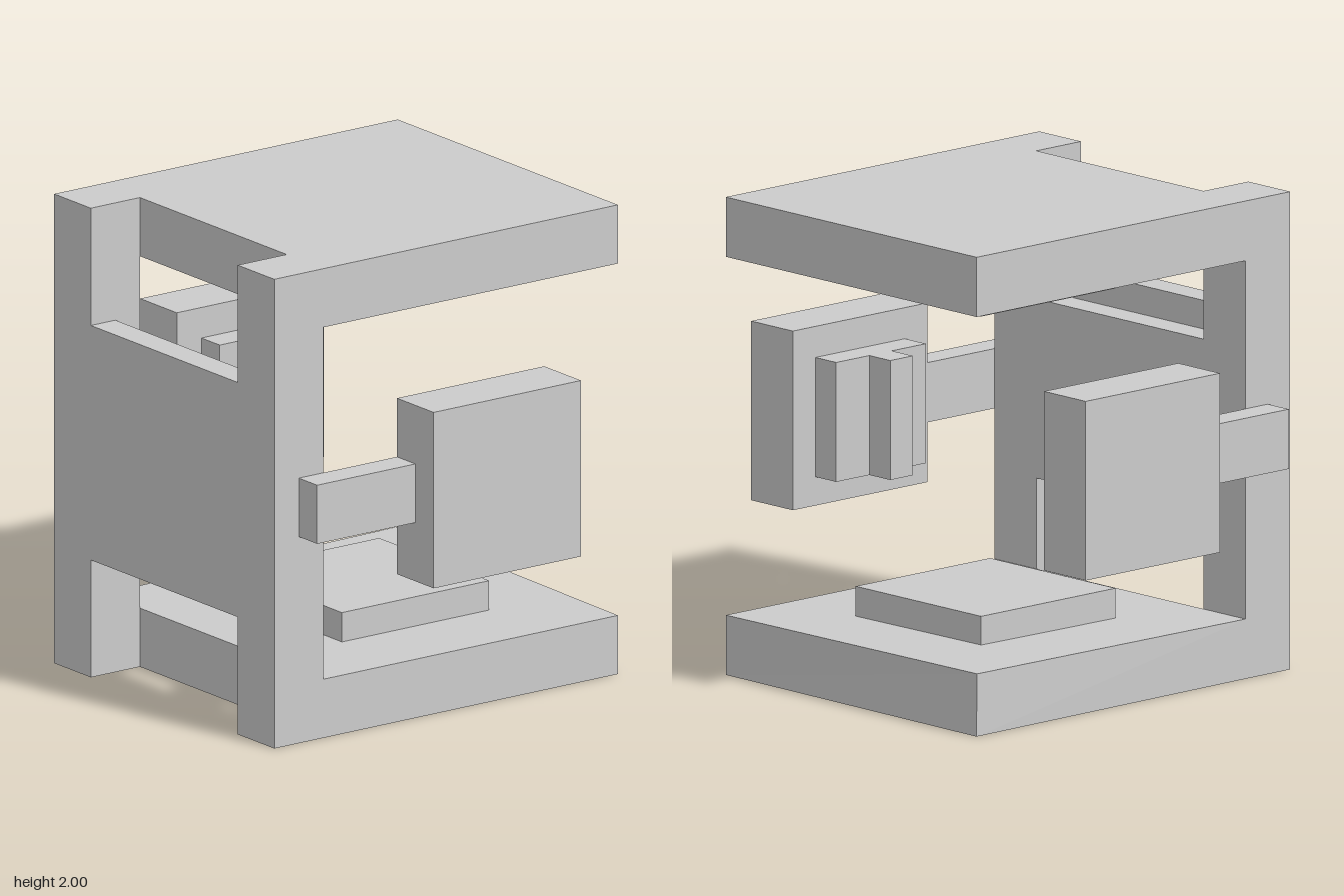
import * as THREE from 'three';

const material = new THREE.MeshStandardMaterial({ color: 0xcccccc, flatShading: true });

// Box given by its lower and upper corner
function block(parent, name, [x0, y0, z0], [x1, y1, z1]) {
  const geometry = new THREE.BoxGeometry(x1 - x0, y1 - y0, z1 - z0);
  geometry.translate((x0 + x1) / 2, (y0 + y1) / 2, (z0 + z1) / 2);
  const mesh = new THREE.Mesh(geometry, material);
  mesh.name = name;
  parent.add(mesh);
  return mesh;
}

// The same block on both sides of x = 0
function pair(parent, name, [x0, y0, z0], [x1, y1, z1]) {
  block(parent, name + 'Left', [x0, y0, z0], [x1, y1, z1]);
  block(parent, name + 'Right', [-x1, y0, z0], [-x0, y1, z1]);
}

export function createModel() {
  const model = new THREE.Group();
  model.name = 'clampFrame';

  // z levels of the frame, from back to front
  const back = -0.865, inner = 0.635, middle = 0.76, front = 0.885;

  // Top and bottom plates
  block(model, 'topPlate', [-0.75, 1.75, back], [0.75, 2, inner]);
  const bottom = block(model, 'bottomPlate', [-0.75, 0, back], [0.75, 0.25, inner]);

  // The bottom plate has one slightly pulled-out back corner
  const p = bottom.geometry.attributes.position;
  for (let i = 0; i < p.count; i++) {
    if (p.getX(i) < 0 && p.getZ(i) < 0) {
      if (p.getY(i) > 0.1) p.setXYZ(i, -0.763, 0.26, -0.875);
      else p.setXYZ(i, -0.77, 0, -0.885);
    }
  }
  bottom.geometry.computeVertexNormals();

  // Front wall: two pillars, a panel between them and its backing layer
  pair(model, 'pillar', [0.5, 0, inner], [0.75, 2, front]);
  block(model, 'frontPanel', [-0.5, 0.5, middle], [0.5, 1.5, front]);
  block(model, 'panelBacking', [-0.5, 0.63, inner], [0.5, 1.38, middle]);

  // Pads facing each other on the plates
  block(model, 'topPad', [-0.375, 1.63, -0.49], [0.375, 1.75, 0.26]);
  block(model, 'bottomPad', [-0.375, 0.25, -0.49], [0.375, 0.375, 0.26]);

  // Side slabs on arms, with a stepped jaw pointing inwards
  pair(model, 'sideArm', [0.75, 0.88, 0.26], [0.875, 1.13, middle]);
  pair(model, 'sideSlab', [0.75, 0.63, -0.49], [1, 1.38, 0.26]);
  pair(model, 'jawPad', [0.625, 0.75, -0.365], [0.75, 1.25, 0.135]);
  pair(model, 'jawRib', [0.5, 0.75, -0.18], [0.625, 1.25, -0.055]);

  return model;
}
